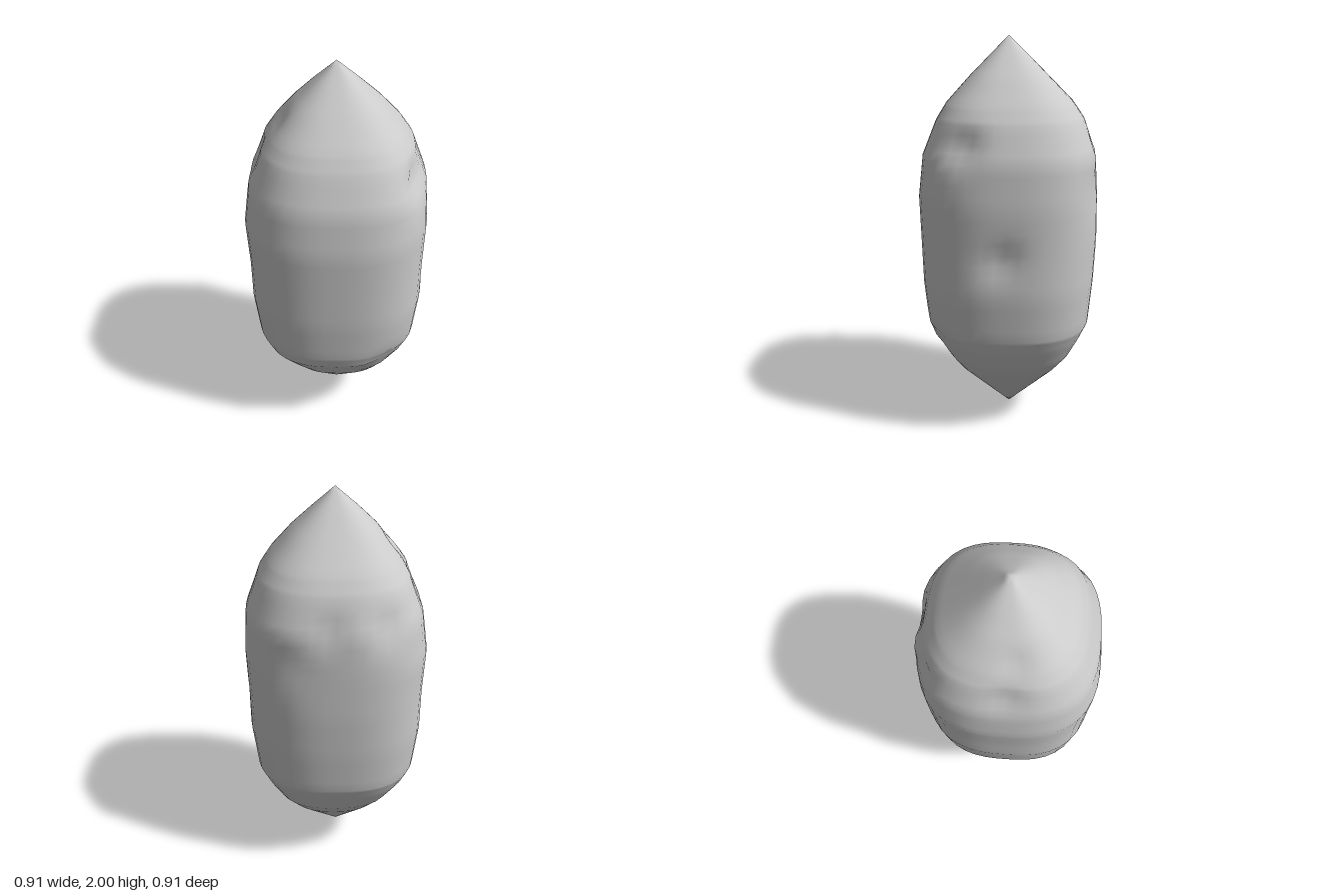
import * as THREE from 'three';

// Outline per height: y, then reach towards +x, +z, -x, -z
const ROWS = [
  [0.00, 0.00, 0.00, 0.00, 0.00],
  [0.28, 0.27, 0.26, 0.24, 0.27],
  [0.36, 0.33, 0.32, 0.31, 0.335],
  [0.47, 0.39, 0.40, 0.39, 0.39],
  [0.55, 0.425, 0.425, 0.425, 0.425],
  [0.78, 0.45, 0.445, 0.45, 0.445],
  [1.00, 0.45, 0.45, 0.45, 0.455],
  [1.22, 0.455, 0.455, 0.46, 0.455],
  [1.43, 0.44, 0.43, 0.43, 0.45],
  [1.60, 0.375, 0.36, 0.365, 0.38],
  [1.68, 0.32, 0.31, 0.31, 0.325],
  [1.80, 0.215, 0.20, 0.21, 0.205],
  [1.90, 0.11, 0.10, 0.11, 0.105],
  [2.00, 0.00, 0.00, 0.00, 0.00],
];

// Shallow chips in the faces: x, y, z, depth, spread
const CHIPS = [
  [0.41, 1.50, 0.22, 0.045, 0.09],
  [0.46, 0.97, 0.02, 0.03, 0.08],
  [-0.25, 1.45, -0.40, 0.035, 0.08],
  [-0.42, 1.55, 0.00, 0.03, 0.09],
  [0.04, 1.45, -0.45, 0.03, 0.08],
  [0.20, 1.28, -0.45, 0.015, 0.12],
  [0.27, 0.47, 0.36, 0.025, 0.10],
  [-0.30, 1.72, 0.05, 0.02, 0.07],
];

const SEGMENTS = 48, STEPS = 4, POWER = 2.7;

// Point on the rounded-square cross-section, pushed in by nearby chips
function surfacePoint(row, angle) {
  const [y, px, pz, nx, nz] = row;
  const c = Math.cos(angle), s = Math.sin(angle);
  const a = Math.abs(c) / (c > 0 ? px : nx), b = Math.abs(s) / (s > 0 ? pz : nz);
  let r = (a ** POWER + b ** POWER) ** (-1 / POWER);
  const p = new THREE.Vector3(r * c, y, r * s);
  for (const [x, cy, z, depth, spread] of CHIPS) {
    const d2 = (p.x - x) ** 2 + (y - cy) ** 2 + (p.z - z) ** 2;
    r -= depth * Math.exp(-d2 / (spread * spread));
  }
  return [r * c, y, r * s];
}

function crystalGeometry() {
  // Subdivided rings between the two points
  const rings = [];
  for (let i = 0; i < ROWS.length - 1; i++)
    for (let k = 0; k < STEPS; k++)
      rings.push(ROWS[i].map((v, j) => THREE.MathUtils.lerp(v, ROWS[i + 1][j], k / STEPS)));
  rings.shift();

  const positions = [], index = [];
  for (const ring of rings)
    for (let j = 0; j < SEGMENTS; j++)
      positions.push(...surfacePoint(ring, (j / SEGMENTS) * Math.PI * 2));
  const bottom = rings.length * SEGMENTS, top = bottom + 1;
  positions.push(0, 0, 0, 0, 2, 0);

  // Side bands, closed by a fan at each point
  const last = (rings.length - 1) * SEGMENTS;
  for (let j = 0; j < SEGMENTS; j++) {
    const n = (j + 1) % SEGMENTS;
    for (let i = 0; i < last; i += SEGMENTS) {
      const up = i + SEGMENTS;
      index.push(i + j, up + j, i + n, up + j, up + n, i + n);
    }
    index.push(bottom, j, n, last + j, top, last + n);
  }

  const geometry = new THREE.BufferGeometry();
  geometry.setAttribute('position', new THREE.Float32BufferAttribute(positions, 3));
  geometry.setIndex(index);
  geometry.computeVertexNormals();
  return geometry;
}

export function createModel() {
  const group = new THREE.Group();
  group.name = 'crystal';
  const stone = new THREE.Mesh(
    crystalGeometry(),
    new THREE.MeshStandardMaterial({ color: 0xcccccc })
  );
  stone.name = 'crystalBody';
  group.add(stone);
  return group;
}
